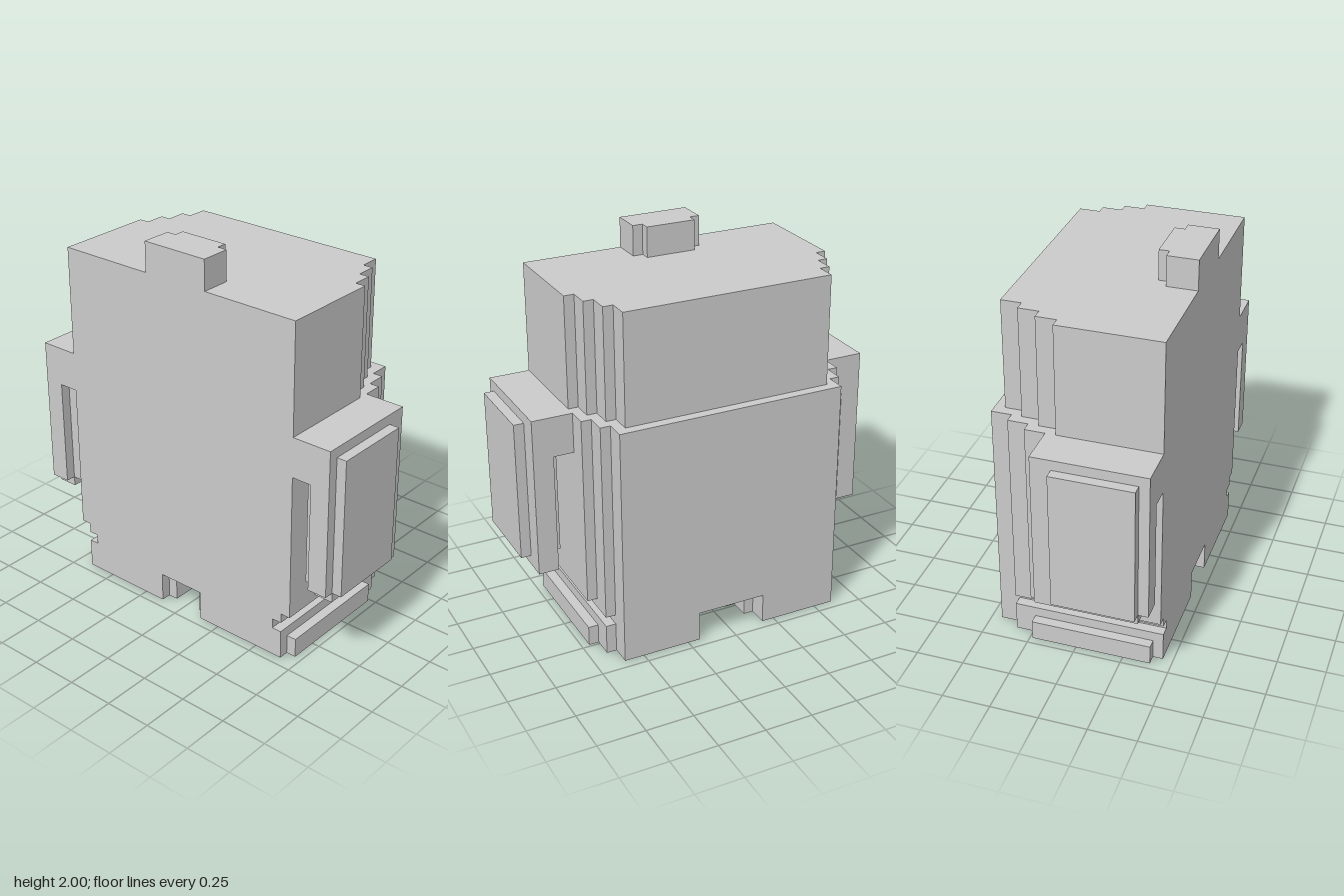
import * as THREE from 'three';

const U = 2 / 38; // one voxel
const FRONT = 8.5;
const material = new THREE.MeshStandardMaterial({ color: 0xcccccc, flatShading: true });

// Upright prism from a plan outline of [x, z] points, between heights y0 and y1 (all in voxels)
function slab(name, plan, y0, y1) {
  const shape = new THREE.Shape(plan.map(([x, z]) => new THREE.Vector2(x * U, -z * U)));
  const geometry = new THREE.ExtrudeGeometry(shape, { depth: (y1 - y0) * U, bevelEnabled: false });
  geometry.rotateX(-Math.PI / 2);
  geometry.translate(0, y0 * U, 0);
  const mesh = new THREE.Mesh(geometry, material);
  mesh.name = name;
  return mesh;
}

const mirror = (plan) => plan.map(([x, z]) => [-x, z]).reverse();
const rect = (x0, x1, z0, z1) => [[x0, z0], [x1, z0], [x1, z1], [x0, z1]];

// Symmetric outline, flat at the front; each step is [half width, rear z]
function stepped(steps) {
  const half = [[steps[0][0], FRONT]];
  steps.forEach(([x, z], i) => {
    half.push([x, z]);
    if (i < steps.length - 1) half.push([steps[i + 1][0], z]);
  });
  return [...half, ...mirror(half)];
}

export function createModel() {
  const model = new THREE.Group();
  model.name = 'blockFigure';

  // Head with stepped rear corners, and the knob on top
  model.add(
    slab('head', stepped([[13.5, -1.5], [12.5, -3.5], [11.5, -5.5], [10.5, -7.5]]), 24, 35),
    slab('headKnob', stepped([[3.5, 5.5], [2.5, 4.5]]), 35, 38),
  );

  // Torso, narrowing in steps to the waist
  model.add(
    slab('torso', stepped([[13.5, -4.5], [12.5, -6.5], [11.5, -8.5]]), 5, 24),
    slab('lowerTorso', stepped([[12.5, -6.5], [11.5, -8.5]]), 4, 5),
    slab('waist', stepped([[11.5, -8.5]]), 3, 4),
  );

  for (const side of ['left', 'right']) {
    const place = (plan) => (side === 'left' ? plan : mirror(plan));

    // Arm: shoulder, hanging part, plates on both faces, hand
    const arm = new THREE.Group();
    arm.name = side + 'Arm';
    arm.add(
      slab('shoulder', place(rect(13.5, 17.5, FRONT, -2.5)), 20, 24),
      slab('forearm', place(rect(15.5, 17.5, FRONT, -2.5)), 9, 20),
      slab('outerArmPlate', place(rect(17.5, 18.5, 7.5, -0.5)), 9, 23),
      slab('innerArmPlate', place(rect(14.5, 15.5, 7.5, -0.5)), 9, 20),
      slab('hand', place(rect(15.5, 17.5, 7.5, -2.5)), 8, 9),
    );
    model.add(arm);

    // Foot: block with stepped rear corners and side plates
    const foot = new THREE.Group();
    foot.name = side + 'Foot';
    foot.add(
      slab('footBlock', place([
        [2.5, FRONT], [12.5, FRONT], [12.5, -6.5], [11.5, -6.5], [11.5, -8.5],
        [3.5, -8.5], [3.5, -6.5], [2.5, -6.5],
      ]), 0, 3),
      slab('outerFootPlate', place(rect(12.5, 13.5, 7.5, -4.5)), 0, 2),
      slab('innerFootPlate', place(rect(1.5, 2.5, 7.5, -4.5)), 0, 3),
    );
    model.add(foot);
  }
  return model;
}
